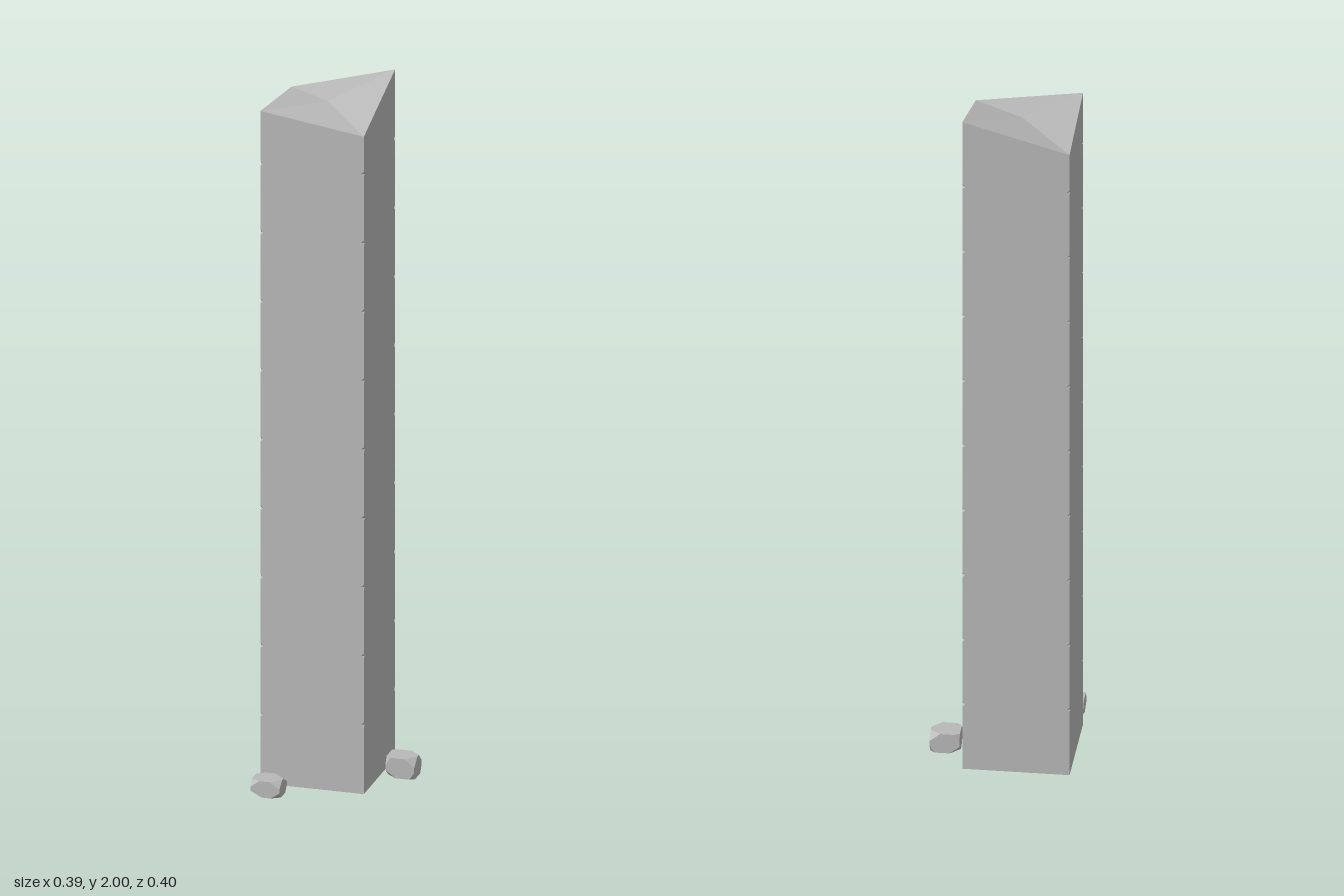
import * as THREE from 'three';
import { ConvexGeometry } from 'three/addons/geometries/ConvexGeometry.js';

const X0 = -0.197, X1 = 0.097, Z0 = -0.2, Z1 = 0.093;

// Square outline with its corners cut by c; yOf gives the height at each corner
// Order: front left, front right, back right, back left as seen from the front
function ring(c, heights) {
  return [
    [X0, Z1, 0, -c], [X0, Z1, c, 0],
    [X1, Z1, -c, 0], [X1, Z1, 0, -c],
    [X1, Z0, 0, c], [X1, Z0, -c, 0],
    [X0, Z0, c, 0], [X0, Z0, 0, c],
  ].map(([x, z, dx, dz], i) => new THREE.Vector3(x + dx, heights[i >> 1], z + dz));
}

function flatGeometry(triangles) {
  const points = triangles
    .filter(([a, b, c]) => new THREE.Triangle(a, b, c).getArea() > 1e-9)
    .flat();
  const geometry = new THREE.BufferGeometry().setFromPoints(points);
  geometry.computeVertexNormals();
  return geometry;
}

// Open square shaft, with a tiny chip in each corner at every course
function shaftGeometry(topHeights) {
  const level = (y, c = 0) => ring(c, [y, y, y, y]);
  const rings = [level(0)];
  for (let k = 1; k <= 9; k++) {
    const y = 0.2 * k;
    rings.push(level(y - 0.008), level(y, 0.008), level(y + 0.008));
  }
  rings.push(ring(0, topHeights));
  const triangles = [];
  for (let r = 0; r < rings.length - 1; r++) {
    const low = rings[r], high = rings[r + 1];
    for (let i = 0; i < 8; i++) {
      const j = (i + 1) % 8;
      triangles.push([low[i], low[j], high[j]], [low[i], high[j], high[i]]);
    }
  }
  return flatGeometry(triangles);
}

// Slanted cap: four triangles meeting at the middle
function capGeometry(topHeights) {
  const corners = ring(0, topHeights).filter((_, i) => i % 2 === 0);
  const middle = new THREE.Vector3();
  corners.forEach((p) => middle.addScaledVector(p, 0.25));
  return flatGeometry(corners.map((p, i) => [p, corners[(i + 1) % 4], middle]));
}

// Box with every corner cut away; cuts are sizes along x and z for the
// back left, back right, front right and front left corners
function rockGeometry([x0, x1], [z0, z1], height, cuts) {
  const places = [[x0, z0, 1, 1], [x1, z0, -1, 1], [x1, z1, -1, -1], [x0, z1, 1, -1]];
  const points = [];
  places.forEach(([x, z, sx, sz], i) => {
    for (const top of [true, false]) {
      const [cx, cz] = cuts[top ? i : (i + 2) % 4];
      const y = top ? height : 0;
      const cy = height * (top ? -0.4 : 0.36);
      points.push(
        new THREE.Vector3(x + sx * cx, y, z),
        new THREE.Vector3(x, y, z + sz * cz),
        new THREE.Vector3(x, y + cy, z),
      );
    }
  });
  return new ConvexGeometry(points);
}

export function createModel() {
  const group = new THREE.Group();
  const stone = new THREE.MeshStandardMaterial({ color: 0xb8b8b8, side: THREE.DoubleSide });
  stone.name = 'grey stone';

  const add = (name, geometry) => {
    const mesh = new THREE.Mesh(geometry, stone);
    mesh.name = name;
    group.add(mesh);
  };

  const topHeights = [1.953, 1.91, 2.0, 1.918];
  add('pillarShaft', shaftGeometry(topHeights));
  add('pillarCap', capGeometry(topHeights));

  add('frontRock', rockGeometry([-0.193, -0.111], [0.129, 0.199], 0.047,
    [[0.025, 0.016], [0.032, 0.032], [0.027, 0.027], [0.025, 0.014]]));
  add('sideRock', rockGeometry([0.115, 0.197], [-0.118, -0.049], 0.058,
    [[0.014, 0.009], [0.029, 0.025], [0.027, 0.03], [0.014, 0.012]]));

  return group;
}
